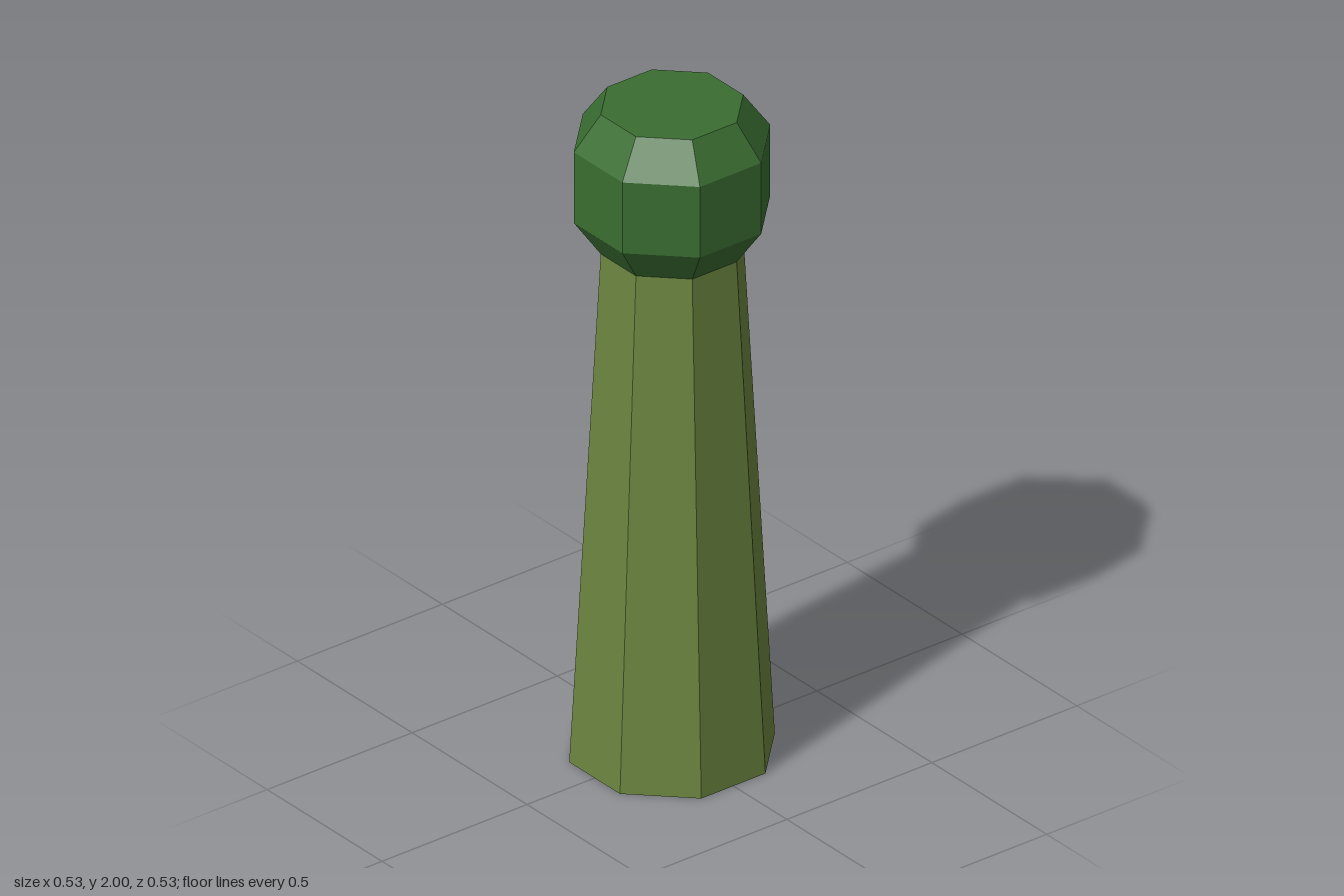
import * as THREE from 'three';

const SIDES = 8;
// flat-to-centre distance -> corner radius of the octagon
const corner = (apothem) => apothem / Math.cos(Math.PI / SIDES);

// Octagonal turned solid from [apothem, y] points listed bottom to top
function octagonal(name, profile, material) {
  const points = profile.map(([a, y]) => new THREE.Vector2(corner(a), y));
  const geometry = new THREE.LatheGeometry(points, SIDES, Math.PI / SIDES);
  const mesh = new THREE.Mesh(geometry, material);
  mesh.name = name;
  return mesh;
}

export function createModel() {
  const model = new THREE.Group();
  model.name = 'post';

  const olive = new THREE.MeshStandardMaterial({ color: 0x6b8540 });
  olive.name = 'olive green';
  olive.flatShading = true;
  const green = new THREE.MeshStandardMaterial({ color: 0x3a6e31 });
  green.name = 'dark green';
  green.flatShading = true;

  // Tapered shaft with a closed base
  model.add(octagonal('shaft', [[0, 0], [0.267, 0], [0.185, 1.567]], olive));

  // Bevelled knob with a flat top
  model.add(octagonal('knob', [
    [0.185, 1.567], [0.255, 1.675], [0.255, 1.895], [0.185, 2], [0, 2],
  ], green));

  return model;
}
